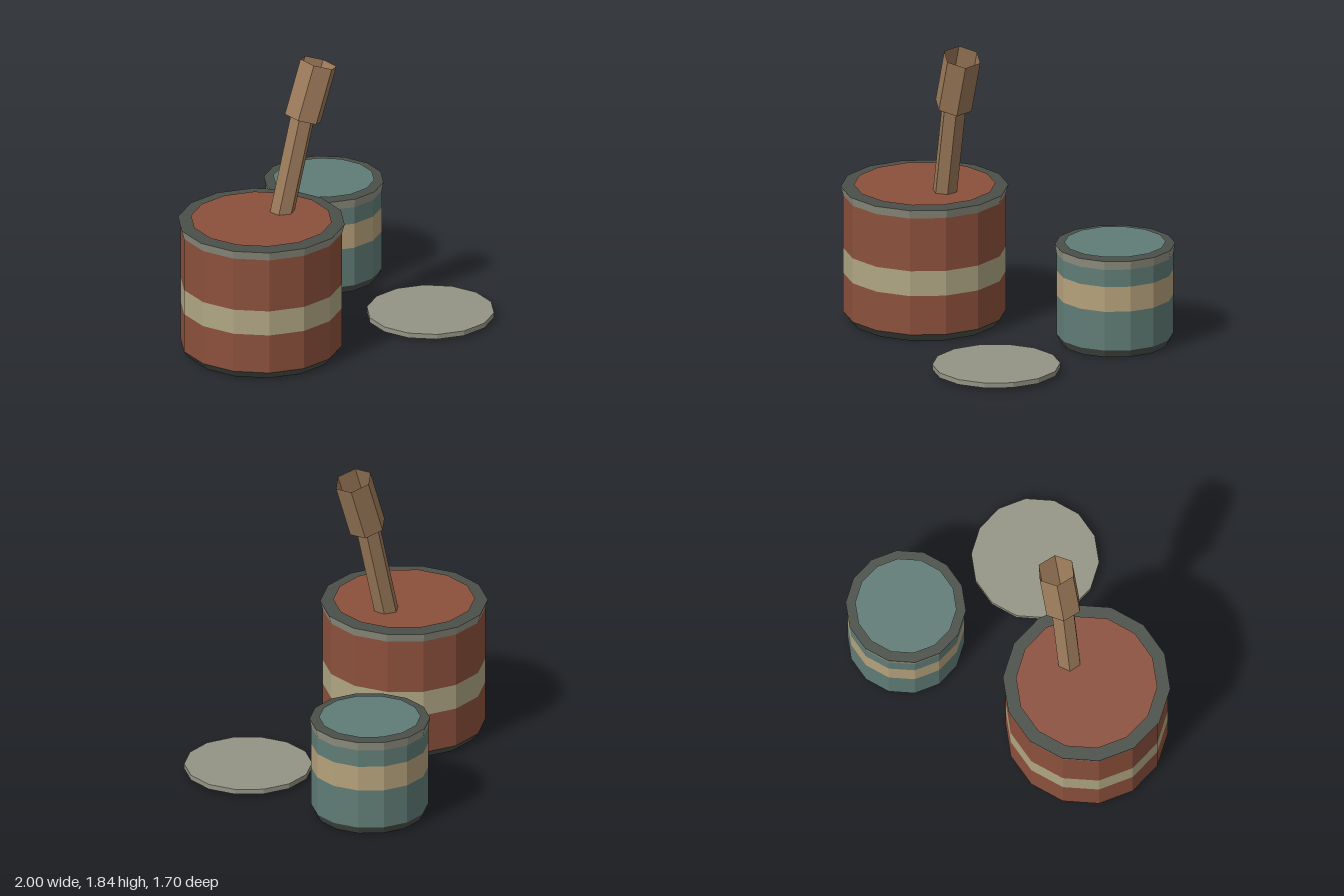
import * as THREE from 'three';

const SIDES = 14;

function material(name, color, extra = {}) {
  const m = new THREE.MeshStandardMaterial({ color, flatShading: true, ...extra });
  m.name = name;
  return m;
}

export function createModel() {
  const mats = {
    red: material('red paint', 0x8c503c),
    teal: material('teal paint', 0x607c76),
    olive: material('olive label', 0xb0a684),
    tan: material('tan label', 0xb6a27c),
    metal: material('grey metal', 0x949485),
    dark: material('dark metal', 0x4a5049),
    wood: material('wood', 0x9c7a5a, { side: THREE.DoubleSide }),
  };
  const model = new THREE.Group();
  model.name = 'paintCans';

  function add(parent, name, geometry, mat) {
    const mesh = new THREE.Mesh(geometry, mat);
    mesh.name = name;
    parent.add(mesh);
    return mesh;
  }

  // Faceted ring wall between two heights, corners on the x axis
  function wall(parent, name, r0, r1, y0, y1, mat, open = true) {
    const g = new THREE.CylinderGeometry(r1, r0, y1 - y0, SIDES, 1, open, Math.PI / 2);
    g.translate(0, (y0 + y1) / 2, 0);
    return add(parent, name, g, mat);
  }

  // Flat horizontal disc facing up or down
  function disc(parent, name, r, y, mat, up = true) {
    const g = new THREE.CircleGeometry(r, SIDES);
    g.rotateX(up ? -Math.PI / 2 : Math.PI / 2);
    g.translate(0, y, 0);
    return add(parent, name, g, mat);
  }

  function can(name, x, z, o) {
    const group = new THREE.Group();
    group.name = name;
    group.position.set(x, 0, z);
    model.add(group);
    disc(group, 'bottom', o.baseR, 0, mats.dark, false);
    wall(group, 'base', o.baseR, o.r, 0, 0.05, mats.dark);
    wall(group, 'lowerBody', o.r, o.r, 0.05, 0.3, o.paint);
    wall(group, 'labelBand', o.r, o.r, 0.3, 0.46, o.label);
    wall(group, 'upperBody', o.r, o.r, 0.46, o.shoulder, o.paint);
    wall(group, 'rim', o.r, o.rimR, o.shoulder, o.top, mats.metal);
    disc(group, 'rimTop', o.rimR, o.top, mats.dark);
    disc(group, 'paintSurface', o.paintR, o.top + 0.01, o.paint);
  }

  can('largeCan', -0.485, 0.095, {
    r: 0.5, baseR: 0.46, rimR: 0.515, paintR: 0.435,
    shoulder: 0.8, top: 0.855, paint: mats.red, label: mats.olive,
  });
  can('smallCan', 0.622, -0.49, {
    r: 0.36, baseR: 0.335, rimR: 0.37, paintR: 0.312,
    shoulder: 0.57, top: 0.627, paint: mats.teal, label: mats.tan,
  });

  // Loose lid lying beside the cans
  const lid = wall(model, 'lid', 0.393, 0.393, 0.018, 0.05, mats.metal, false);
  lid.position.set(0.607, 0, 0.462);

  // Open hexagonal tube between two points
  function hexTube(name, r, from, to) {
    const a = new THREE.Vector3(...from);
    const b = new THREE.Vector3(...to);
    const dir = b.clone().sub(a);
    const mesh = add(model, name, new THREE.CylinderGeometry(r, r, dir.length(), 6, 1, true), mats.wood);
    mesh.position.copy(a).add(b).multiplyScalar(0.5);
    mesh.quaternion.setFromUnitVectors(new THREE.Vector3(0, 1, 0), dir.normalize());
  }

  // Brush standing in the large can
  hexTube('brushShaft', 0.077, [-0.307, 0.83, 0.088], [-0.165, 1.47, 0.132]);
  hexTube('brushHandle', 0.119, [-0.168, 1.457, 0.135], [-0.058, 1.8, 0.16]);

  return model;
}
